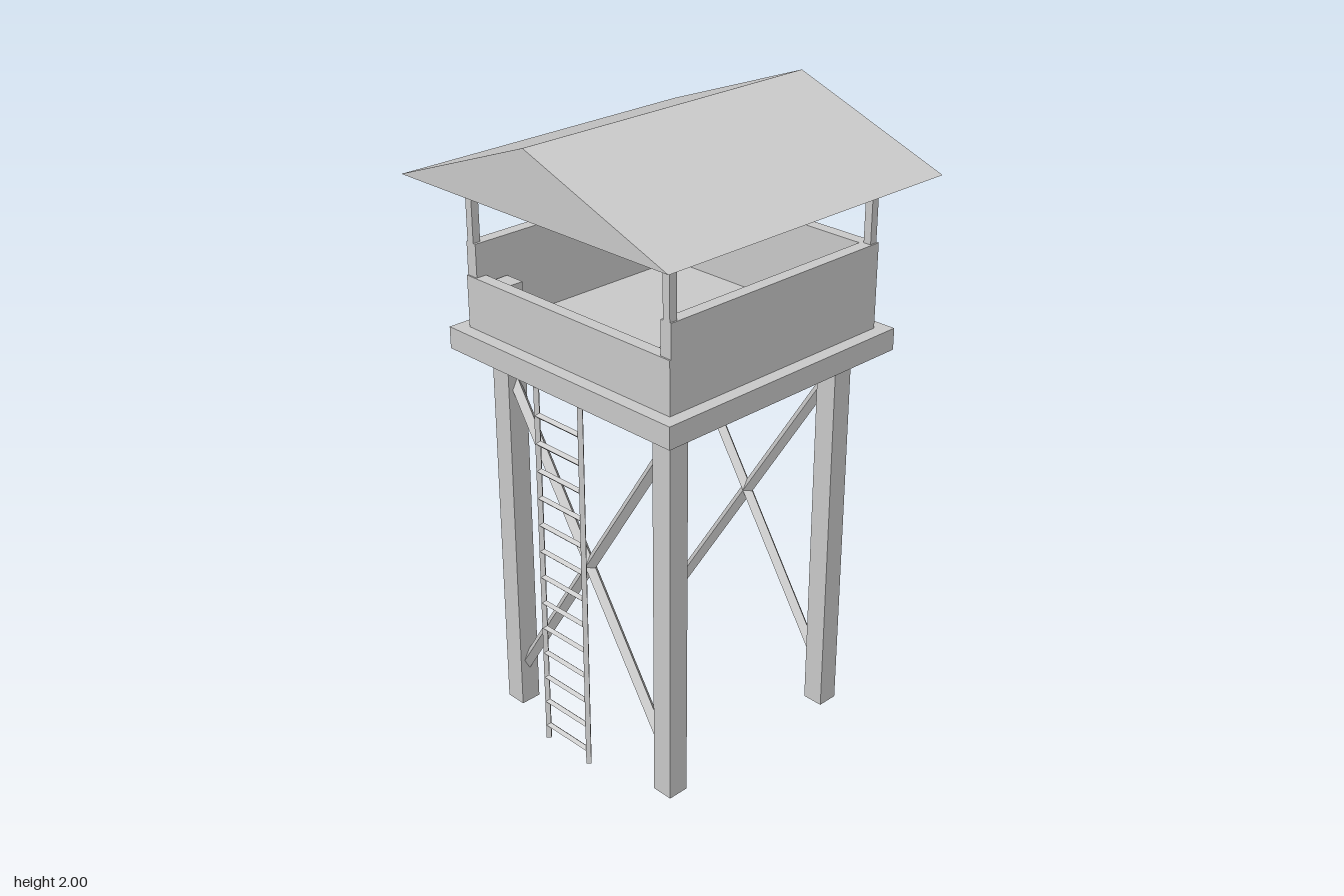
import * as THREE from 'three';

export function createModel() {
  const tower = new THREE.Group();
  tower.name = 'watchtower';
  const grey = new THREE.MeshStandardMaterial({ color: 0xcccccc, flatShading: true });
  grey.name = 'plain grey';

  const add = (name, geometry, x, y, z) => {
    const mesh = new THREE.Mesh(geometry, grey);
    mesh.name = name;
    mesh.position.set(x, y, z);
    tower.add(mesh);
    return mesh;
  };
  // Box given by its centre in x and z, and its bottom and top heights
  const block = (name, w, d, x, z, y0, y1) =>
    add(name, new THREE.BoxGeometry(w, y1 - y0, d), x, (y0 + y1) / 2, z);
  // Four-sided bar between two points
  const bar = (name, a, b, r) => {
    const from = new THREE.Vector3(...a), to = new THREE.Vector3(...b);
    const dir = to.clone().sub(from);
    const mid = from.clone().add(to).multiplyScalar(0.5);
    const mesh = add(name, new THREE.CylinderGeometry(r, r, dir.length(), 4), mid.x, mid.y, mid.z);
    mesh.quaternion.setFromUnitVectors(new THREE.Vector3(0, 1, 0), dir.normalize());
  };

  // Legs reach through the platform into the cabin; thin posts carry the roof
  for (const sx of [-1, 1]) {
    for (const sz of [-1, 1]) {
      block('leg', 0.07, 0.07, sx * 0.345, sz * 0.345, 0, 1.47);
      block('roofPost', 0.026, 0.026, sx * 0.407, sz * 0.407, 1.325, 1.8);
    }
  }

  // Crossed braces on the front and back
  for (const z of [-0.345, 0.345]) {
    for (const s of [-1, 1]) bar('brace', [-0.33 * s, 0.13, z], [0.33 * s, 1.165, z], 0.02);
  }

  // Platform and parapet, lower at the front
  block('platform', 0.935, 0.935, 0, 0, 1.255, 1.325);
  block('frontWall', 0.85, 0.04, 0, 0.405, 1.325, 1.49);
  block('backWall', 0.85, 0.04, 0, -0.405, 1.325, 1.595);
  for (const s of [-1, 1]) block('sideWall', 0.04, 0.805, s * 0.405, 0.0175, 1.325, 1.595);

  // Ladder
  for (const s of [-1, 1]) bar('ladderRail', [s * 0.094, 0.02, 0.453], [s * 0.094, 1.26, 0.453], 0.011);
  for (let i = 0; i < 13; i++) {
    const y = 0.068 + i * 0.0909;
    bar('ladderRung', [-0.094, y, 0.453], [0.094, y, 0.453], 0.01);
  }

  // Solid gable roof
  const gable = new THREE.Shape();
  gable.moveTo(-0.545, 1.8);
  gable.lineTo(0.545, 1.8);
  gable.lineTo(0, 2);
  gable.closePath();
  add('roof', new THREE.ExtrudeGeometry(gable, { depth: 1.094, bevelEnabled: false }), 0, 0, -0.547);

  return tower;
}
